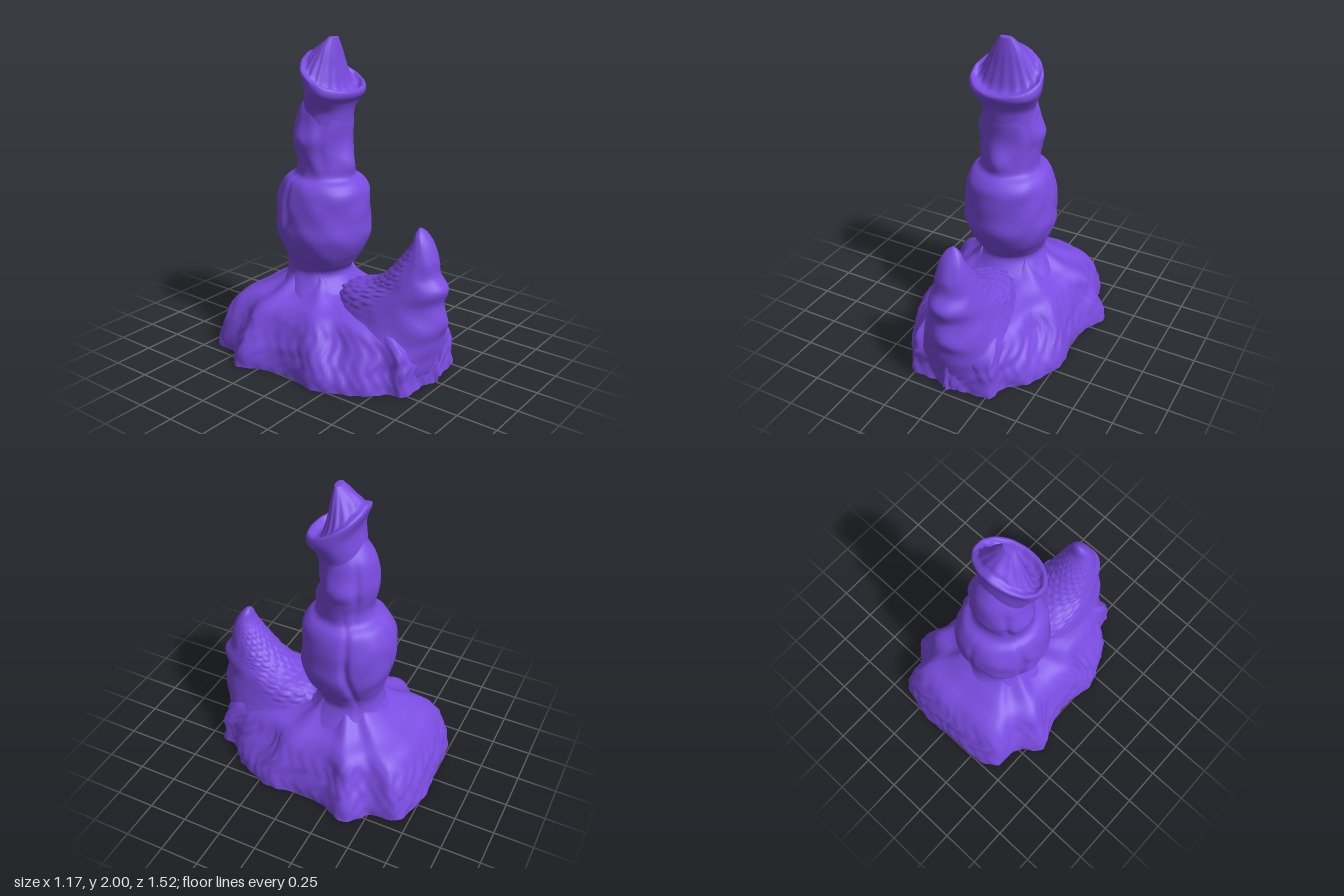
import * as THREE from 'three';

const violet = new THREE.MeshStandardMaterial({ color: 0x7a4ce0 });
violet.name = 'violet';

// smooth lumpy variation for the organic surface
const lumps = (x, y, z, f) =>
  (Math.sin(x * f + 2.1 * Math.sin(y * f * 0.7)) + Math.sin(y * f * 1.3 + 1.7 * z * f) + Math.sin(z * f * 0.9 - x * f * 0.6 + 1)) / 3;
const bell = (v, c, w) => Math.exp(-(((v - c) / w) ** 2));
const step = THREE.MathUtils.smoothstep;

// sample a table of rows at t in 0..1 with a cubic curve
function sample(rows, t) {
  const n = rows.length - 1, u = Math.min(t * n, n - 1e-6), i = Math.floor(u), f = u - i;
  const p = k => rows[Math.max(0, Math.min(n, k))];
  return rows[i].map((b, c) => {
    const a = p(i - 1)[c], d = p(i + 1)[c], e = p(i + 2)[c];
    return b + 0.5 * f * (d - a + f * (2 * a - 5 * b + 4 * d - e + f * (3 * (b - d) + e - a)));
  });
}

// closed skin through rings; point(t, angle) starts at the front and turns towards +x
function loft(name, rows, cols, point, flatBottom) {
  const pos = [], index = [];
  const centre = j => {
    const c = new THREE.Vector3();
    for (let i = 0; i < cols; i++) c.add(new THREE.Vector3().fromArray(pos, (j * cols + i) * 3));
    return c.divideScalar(cols).toArray();
  };
  for (let j = 0; j <= rows; j++)
    for (let i = 0; i < cols; i++) pos.push(...point(j / rows, (i / cols) * Math.PI * 2));
  for (let j = 0; j < rows; j++)
    for (let i = 0; i < cols; i++) {
      const a = j * cols + i, b = j * cols + ((i + 1) % cols);
      index.push(a, b, b + cols, a, b + cols, a + cols);
    }
  const top = pos.length / 3;
  pos.push(...centre(rows));
  for (let i = 0; i < cols; i++) index.push(rows * cols + i, rows * cols + ((i + 1) % cols), top);
  if (flatBottom) {
    const start = pos.length / 3;
    const mid = centre(0);
    for (let i = 0; i < cols * 3; i++) pos.push(pos[i]);
    pos.push(...mid);
    for (let i = 0; i < cols; i++) index.push(start + ((i + 1) % cols), start + i, start + cols);
  }
  const g = new THREE.BufferGeometry();
  g.setAttribute('position', new THREE.Float32BufferAttribute(pos, 3));
  g.setIndex(index);
  g.computeVertexNormals();
  const mesh = new THREE.Mesh(g, violet);
  mesh.name = name;
  return mesh;
}

// rows: front height, back height, front z, back z, half width
const columnRows = [
  [0.42, 0.42, 0.14, -0.44, 0.28], [0.50, 0.50, 0.06, -0.39, 0.225], [0.56, 0.56, 0.03, -0.375, 0.20],
  [0.62, 0.62, 0.07, -0.37, 0.22], [0.70, 0.70, 0.12, -0.39, 0.262], [0.80, 0.80, 0.155, -0.42, 0.292],
  [0.90, 0.90, 0.155, -0.43, 0.285], [1.00, 1.00, 0.15, -0.43, 0.278], [1.08, 1.08, 0.145, -0.405, 0.262],
  [1.13, 1.14, 0.11, -0.37, 0.235], [1.17, 1.18, 0.06, -0.31, 0.19], [1.24, 1.24, 0.045, -0.29, 0.185],
  [1.32, 1.32, 0.035, -0.305, 0.195], [1.40, 1.40, 0.03, -0.315, 0.21], [1.49, 1.49, 0.04, -0.305, 0.18],
  [1.56, 1.57, 0.04, -0.285, 0.16], [1.59, 1.63, 0.02, -0.245, 0.14], [1.60, 1.68, -0.02, -0.20, 0.10],
];
const cupRows = [
  [1.50, 1.50, 0.04, -0.25, 0.165], [1.57, 1.57, 0.05, -0.24, 0.165], [1.62, 1.66, 0.07, -0.22, 0.195],
  [1.66, 1.77, 0.10, -0.21, 0.224], [1.69, 1.87, 0.105, -0.24, 0.224], [1.70, 1.90, 0.085, -0.235, 0.21],
  [1.675, 1.91, 0.05, -0.20, 0.188], [1.70, 1.93, 0.01, -0.18, 0.165], [1.80, 1.95, -0.015, -0.15, 0.125],
  [1.91, 1.97, -0.03, -0.12, 0.085], [1.995, 1.995, -0.045, -0.085, 0.04],
];
const hornRows = [
  [0.02, 0.02, 0.66, -0.05, 0.36], [0.10, 0.10, 0.69, -0.05, 0.35], [0.20, 0.20, 0.715, -0.05, 0.325],
  [0.29, 0.29, 0.725, -0.03, 0.285], [0.38, 0.38, 0.755, -0.02, 0.24], [0.50, 0.50, 0.725, 0.08, 0.20],
  [0.60, 0.56, 0.755, 0.25, 0.165], [0.68, 0.65, 0.695, 0.37, 0.14], [0.77, 0.76, 0.685, 0.46, 0.108],
  [0.86, 0.86, 0.65, 0.525, 0.078], [0.92, 0.92, 0.61, 0.545, 0.048], [0.95, 0.95, 0.58, 0.56, 0.012],
];
// half outline of the foot from front to back
const footOutline = [
  [0, 0.72], [0.09, 0.68], [0.27, 0.66], [0.30, 0.56], [0.41, 0.46], [0.47, 0.32], [0.53, 0.18], [0.50, 0.0],
  [0.51, -0.2], [0.585, -0.38], [0.46, -0.51], [0.42, -0.68], [0.21, -0.75], [0, -0.755],
];
// rows: height, scale of the outline
const footRows = [
  [0, 1], [0.06, 0.99], [0.13, 0.965], [0.20, 0.935], [0.27, 0.88], [0.33, 0.81], [0.38, 0.71],
  [0.42, 0.57], [0.47, 0.45], [0.52, 0.36], [0.58, 0.30],
];

// the front-to-back slant of a ring sags a little at its sides
function ringPoint(rows, t, a, push) {
  const [yF, yB, zF, zB, w] = sample(rows, t);
  const c = Math.cos(a), s = Math.sin(a), m = ((1 + c) / 2) ** 0.65;
  const y = yB + (yF - yB) * m, k = 1 + push(y, a, w);
  return [s * w * k, y, (zF + zB) / 2 + (c * (zF - zB) / 2) * k];
}

export function createModel() {
  const model = new THREE.Group();
  model.name = 'sculpture';

  // spreading rocky foot, steep at the front, hollowed beside the horn, with an eroded edge
  model.add(loft('foot', 50, 220, (t, a) => {
    const [y, scale] = sample(footRows, t);
    const turn = a / Math.PI, u = turn > 1 ? 2 - turn : turn;
    const [ox, oz] = sample(footOutline, u);
    const x = turn > 1 ? -ox : ox;
    const steep = step(oz, 0.3, 0.62) * (1 - scale) * 0.7 * bell(y, 0.15, 0.2);
    const hollow = 0.12 * bell(y, 0.27, 0.13) * bell(u, 0.37, 0.1) + 0.06 * bell(y, 0.24, 0.1) * bell(u, 0.69, 0.1);
    const rough = bell(scale, 0.92, 0.12) * (0.007 * Math.sin(a * 23 + 3 * Math.sin(a * 5) + 3 * Math.sin(y * 19))
      + 0.008 * Math.sin(a * 51 + 2 * Math.sin(y * 31 + a * 3)));
    const k = (scale + steep - hollow * step(y, 0, 0.12)) * (1 + rough + 0.015 * lumps(x, y, oz, 14) * (1 - t));
    const wave = 0.008 * lumps(x * scale, 0, oz * scale, 17) * bell(t, 0.65, 0.3);
    const dip = 1 - 0.22 * t ** 3 * step(Math.cos(a), -0.2, 0.7);
    return [x * k, Math.max(0, (y + wave) * dip), -0.13 + (oz + 0.13) * k];
  }, true));

  // swollen lower body and waisted stem, lobed by vertical grooves, with a small front swelling
  model.add(loft('column', 120, 128, (t, a) => ringPoint(columnRows, t, a, (y, b) => {
    const side = Math.min(b, Math.PI * 2 - b);
    const lower = bell(y, 0.87, 0.25), upper = bell(y, 1.38, 0.15);
    const grooves = -0.10 * lower * bell(side, 2.0 - 0.4 * (y - 0.87) + 0.08 * Math.sin(y * 12), 0.08)
      - 0.04 * lower * bell(side, Math.PI, 0.07)
      - 0.10 * upper * (bell(side, 2.3, 0.14) + 0.6 * bell(side, 0.95, 0.2));
    const swelling = 0.2 * bell(y, 1.25, 0.08) * bell(side, 0, 0.35);
    const backCorner = 0.04 * lower * bell(side, 2.55, 0.25);
    return grooves + swelling + backCorner + 0.02 * lumps(Math.sin(b) * 0.3, y, Math.cos(b) * 0.3, 22);
  })));

  // slanted flared cup with a fluted inner crest
  model.add(loft('cup', 70, 112, (t, a) => ringPoint(cupRows, t, a, (y, b) =>
    0.03 * Math.sin(b * 14) * bell(t, 0.7, 0.2) + 0.015 * lumps(Math.sin(b) * 0.2, y, Math.cos(b) * 0.2, 25))));

  // front horn with staggered scales along its inner slope
  model.add(loft('horn', 120, 120, (t, a) => ringPoint(hornRows, t, a, (y, b) => {
    const inner = step(-Math.cos(b), -0.1, 0.4);
    const band = step(y, 0.38, 0.48) * (1 - step(y, 0.78, 0.88));
    const row = Math.floor(t * 34), rise = t * 34 - row;
    const scale = (1 - rise) * Math.abs(Math.sin(b * 9 + (row % 2) * Math.PI / 2));
    return inner * band * 0.09 * scale + (1 - inner) * 0.02 * lumps(Math.sin(b) * 0.3, y, Math.cos(b) * 0.3, 24);
  })));

  return model;
}
